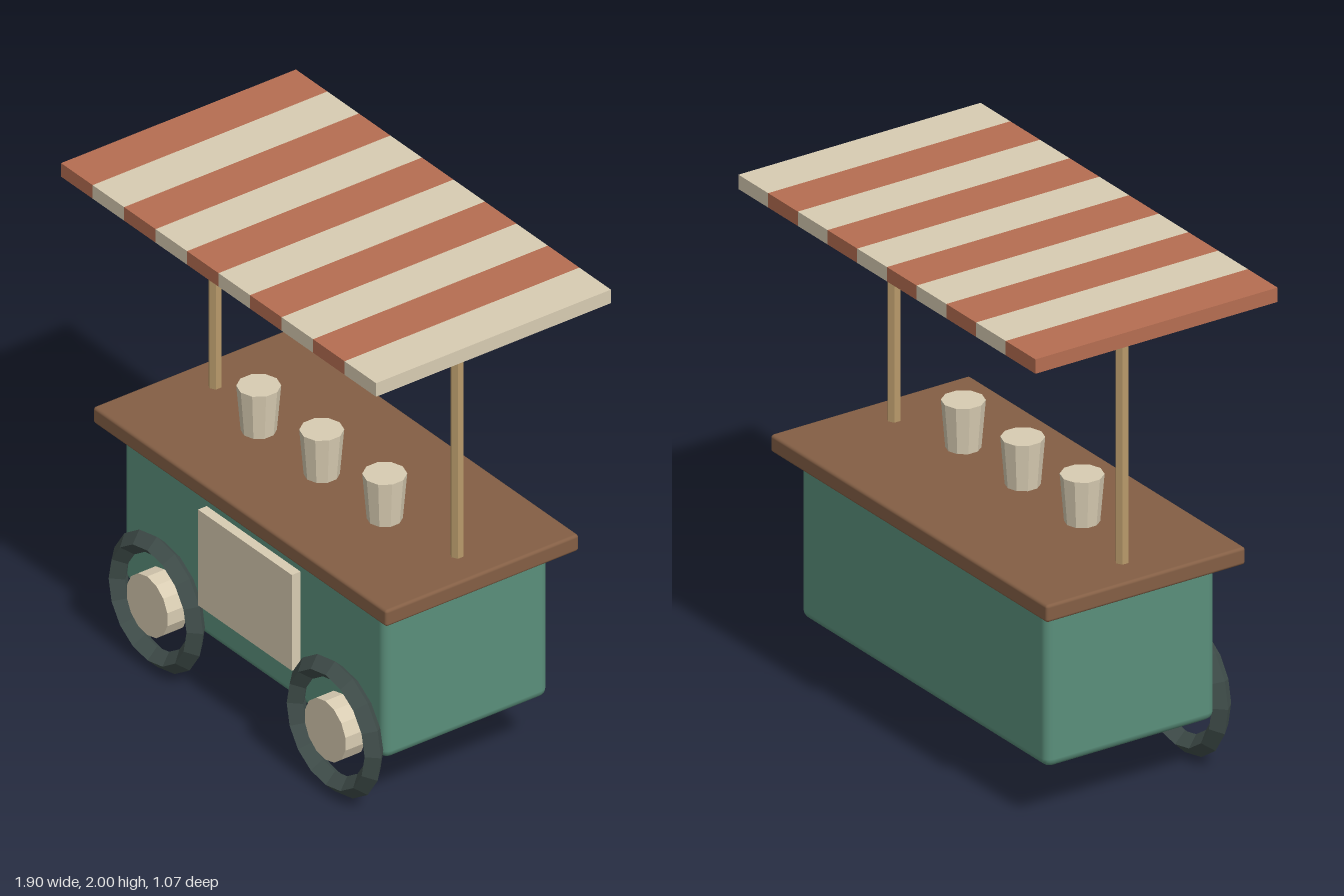
import * as THREE from 'three';
import { RoundedBoxGeometry } from 'three/addons/geometries/RoundedBoxGeometry.js';

const paint = (name, color) => {
  const material = new THREE.MeshStandardMaterial({ color });
  material.name = name;
  return material;
};

// Split shared corners so that every facet is shaded flat
const faceted = (geometry) => {
  const flat = geometry.toNonIndexed();
  flat.computeVertexNormals();
  return flat;
};

export function createModel() {
  const cart = new THREE.Group();
  cart.name = 'streetCart';

  const green = paint('green', 0x5a8f7b);
  const brown = paint('wood brown', 0x845f45);
  const tan = paint('pole tan', 0xb89a6a);
  const cream = paint('cream', 0xd8ccb2);
  const red = paint('brick red', 0xb66e52);
  const slate = paint('tyre slate', 0x42504d);

  const add = (name, geometry, material, x, y, z, parent = cart) => {
    const mesh = new THREE.Mesh(geometry, material);
    mesh.name = name;
    mesh.position.set(x, y, z);
    parent.add(mesh);
    return mesh;
  };

  // Body, counter top and front panel
  add('body', new RoundedBoxGeometry(1.58, 0.65, 0.75, 2, 0.035), green, 0, 0.565, 0);
  add('counter', new RoundedBoxGeometry(1.77, 0.07, 0.88, 2, 0.012), brown, 0, 0.92, 0);
  add('frontPanel', new THREE.BoxGeometry(0.566, 0.41, 0.05), cream, 0, 0.598, 0.39);

  // Wheels: diamond-section tyres with separate round hubs, front side only
  const tyre = faceted(new THREE.TorusGeometry(0.235, 0.043, 4, 16));
  const hub = faceted(new THREE.CylinderGeometry(0.125, 0.125, 0.09, 14).rotateX(Math.PI / 2));
  for (const [side, x] of [['right', -0.537], ['left', 0.537]]) {
    const wheel = new THREE.Group();
    wheel.name = side + 'Wheel';
    wheel.position.set(x, 0.28, 0.41);
    cart.add(wheel);
    add('tyre', tyre, slate, 0, 0, 0, wheel);
    add('hub', hub, cream, 0, 0, 0, wheel);
  }

  // Six-sided canopy poles
  const pole = faceted(new THREE.CylinderGeometry(0.026, 0.026, 1.0, 6));
  add('rightPole', pole, tan, -0.73, 1.45, 0);
  add('leftPole', pole, tan, 0.73, 1.45, 0);

  // Cups on the counter
  const cup = faceted(new THREE.CylinderGeometry(0.082, 0.066, 0.19, 10));
  for (const x of [-0.38, 0, 0.38]) add('cup', cup, cream, x, 1.06, 0.065);

  // Flat canopy in ten alternating stripes
  const canopy = new THREE.Group();
  canopy.name = 'canopy';
  cart.add(canopy);
  const stripe = new THREE.BoxGeometry(0.19, 0.058, 1.07);
  for (let i = 0; i < 10; i++) {
    add('canopyStripe', stripe, i % 2 ? cream : red, -0.855 + i * 0.19, 1.971, 0, canopy);
  }

  return cart;
}
